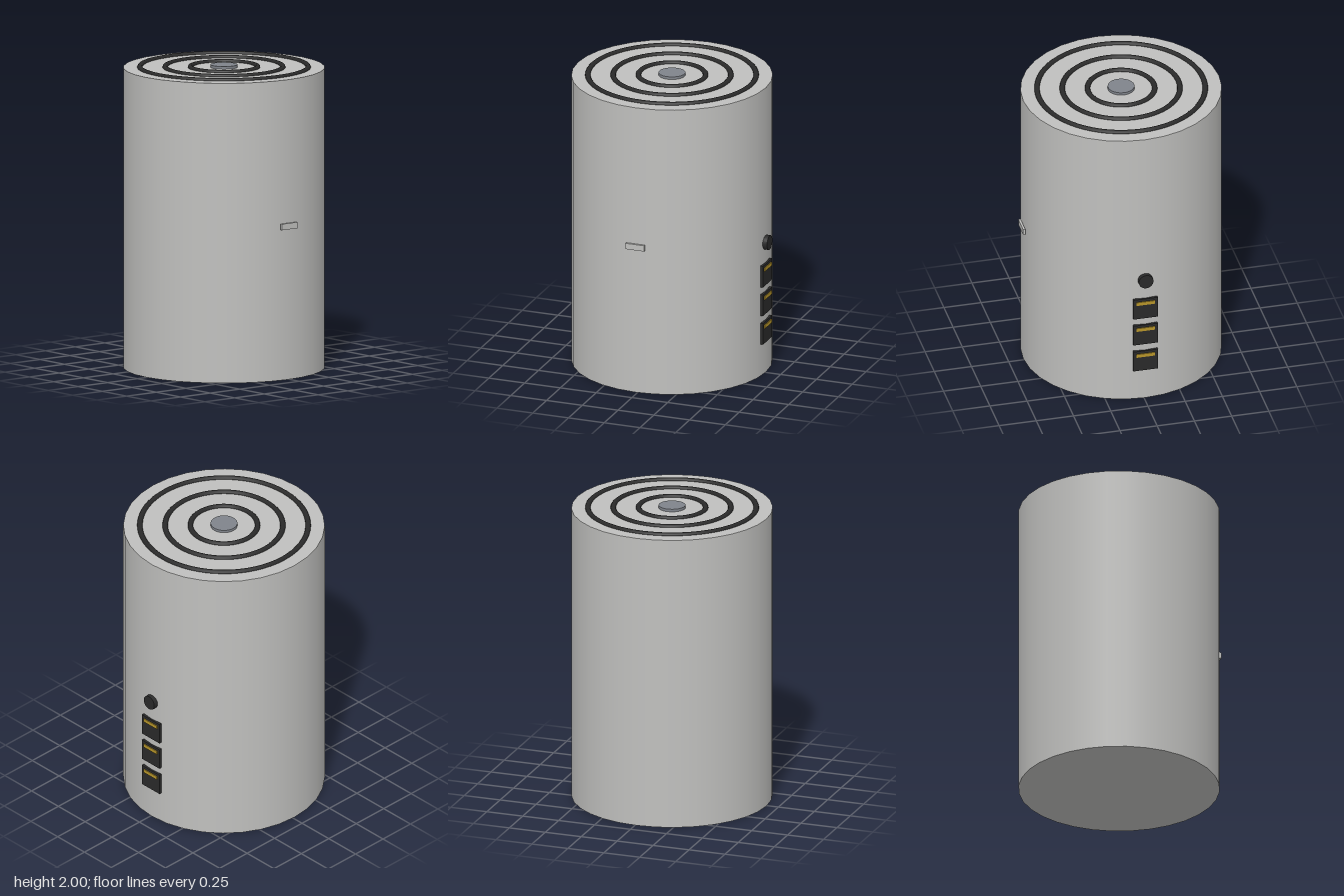
import * as THREE from 'three';

const CX = -0.013, CZ = -0.008; // body axis
const RADIUS = 0.657, HEIGHT = 1.981;

export function createModel() {
  const model = new THREE.Group();
  model.name = 'cylinderDevice';

  const paint = (name, color) => {
    const m = new THREE.MeshStandardMaterial({ color });
    m.name = name;
    return m;
  };
  const silver = paint('silver', 0xc0c0be);
  const black = paint('black', 0x2a2a2a);
  const steel = paint('steelGrey', 0x80848b);
  const gold = paint('gold', 0xb8962a);

  const add = (name, geometry, material, x, y, z) => {
    const mesh = new THREE.Mesh(geometry, material);
    mesh.name = name;
    mesh.position.set(x, y, z);
    model.add(mesh);
    return mesh;
  };

  // Main housing
  add('body', new THREE.CylinderGeometry(RADIUS, RADIUS, HEIGHT, 32), silver, CX, HEIGHT / 2, CZ);

  // Concentric rings half sunk into the top
  [0.219, 0.384, 0.549].forEach((r, i) => {
    const ring = new THREE.TorusGeometry(r, 0.0175, 12, 64).rotateX(Math.PI / 2);
    add(`topRing${i + 1}`, ring, black, CX, HEIGHT, CZ);
  });

  // Centre disc on the top
  add('centreDisc', new THREE.CylinderGeometry(0.0875, 0.0875, 0.036, 32), steel, CX, HEIGHT, CZ);

  // Small plate on the front
  add('frontPlate', new THREE.BoxGeometry(0.131, 0.04, 0.015), silver, CX, 1.015, 0.659);

  // Round button on the left side
  const button = new THREE.CylinderGeometry(0.049, 0.049, 0.033, 24).rotateZ(-Math.PI / 2);
  add('sideButton', button, black, 0.6535, 0.905, CZ);

  // Three sockets with gold contact strips
  [0.692, 0.493, 0.294].forEach((y, i) => {
    add(`socket${i + 1}`, new THREE.BoxGeometry(0.022, 0.148, 0.164), black, 0.644, y, CZ);
    add(`contactStrip${i + 1}`, new THREE.BoxGeometry(0.009, 0.024, 0.124), gold, 0.6565, y + 0.043, CZ);
  });

  return model;
}
